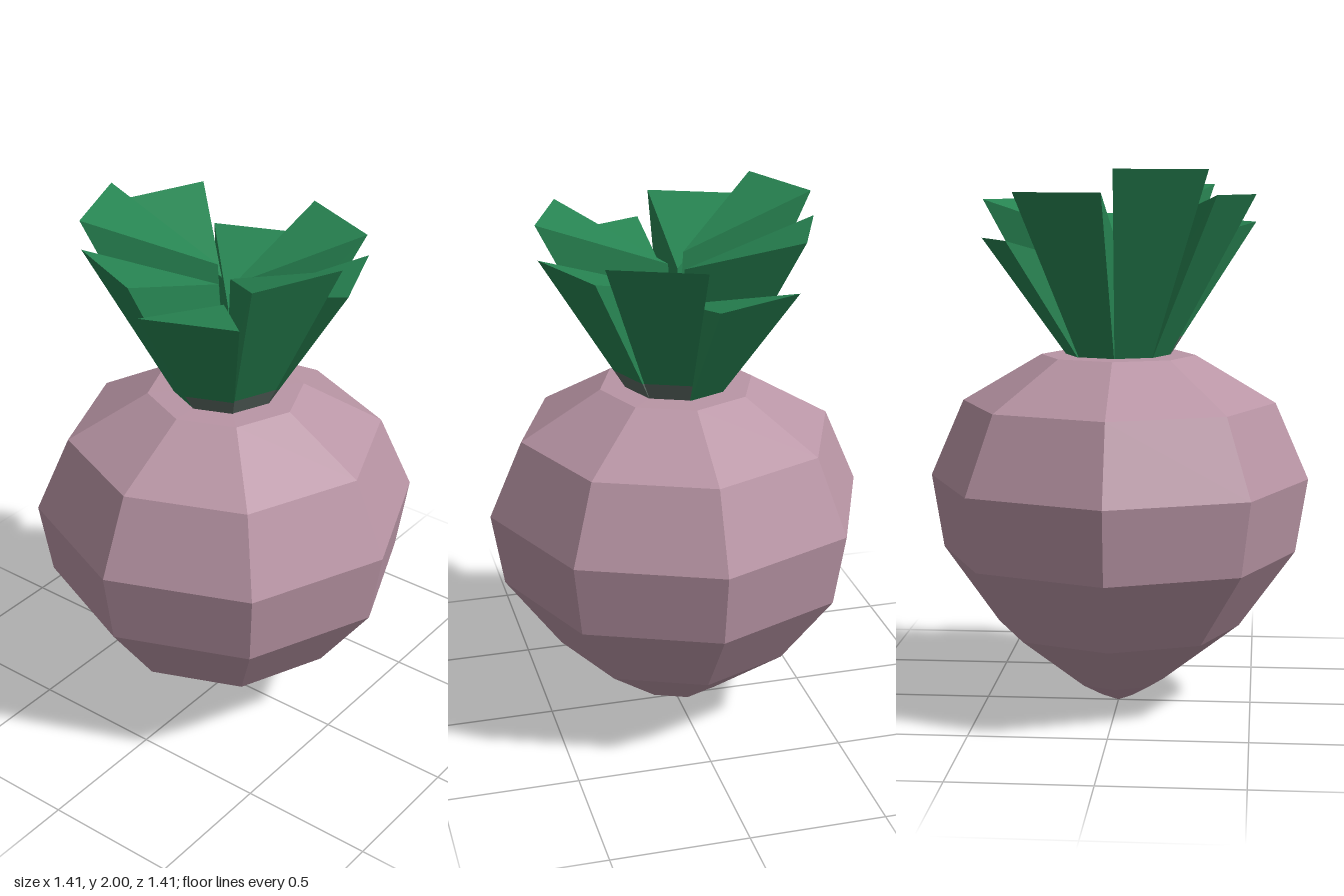
import * as THREE from 'three';

const skin = new THREE.MeshStandardMaterial({ name: 'mauve skin', color: 0xb995a5, flatShading: true });
const green = new THREE.MeshStandardMaterial({ name: 'leaf green', color: 0x278452, flatShading: true });
const dull = new THREE.MeshStandardMaterial({ name: 'dull stem green', color: 0x5c6b64, flatShading: true });

const BASE = 1.3, CUFF = 1.39;

// Three-cornered cross-section of a leaf: inner corner, then two outer corners
function section(octant, y, tip) {
  const f = (y - BASE) / (tip - BASE);
  const t0 = octant * Math.PI / 4, t1 = t0 + Math.PI / 4, gap = 0.04 * f;
  const at = (r, t, h) => new THREE.Vector3(r * Math.sin(t), h, r * Math.cos(t));
  const r = THREE.MathUtils.lerp(0.18, 0.505, f);
  return [
    at(0.03 * f, (t0 + t1) / 2, BASE + (y - BASE) * 0.73),
    at(r, t0 + gap, y),
    at(r, t1 - gap, y),
  ];
}

// Closed wall between two sections, with an optional top face
function wedge(low, high, capped) {
  const pts = [];
  for (let i = 0; i < 3; i++) {
    const j = (i + 1) % 3;
    pts.push(low[i], low[j], high[j], low[i], high[j], high[i]);
  }
  if (capped) pts.push(...high);
  const g = new THREE.BufferGeometry().setFromPoints(pts);
  g.computeVertexNormals();
  return g;
}

function addMesh(parent, name, geometry, material) {
  const mesh = new THREE.Mesh(geometry, material);
  mesh.name = name;
  parent.add(mesh);
}

export function createModel() {
  const model = new THREE.Group();
  model.name = 'rootVegetable';

  // Eight-sided bulb
  const profile = [
    [0, 0], [0.08, 0.035], [0.17, 0.085], [0.455, 0.3], [0.662, 0.585],
    [0.707, 0.86], [0.583, 1.145], [0.287, 1.32], [0, 1.325],
  ].map(([r, y]) => new THREE.Vector2(r, y));
  addMesh(model, 'bulb', new THREE.LatheGeometry(profile, 8), skin);

  // Ring of wedge leaves of uneven height, front ones with a dull stem
  const leaves = new THREE.Group();
  leaves.name = 'leaves';
  model.add(leaves);
  [1.83, 1.89, 1.75, 1.92, 2.0, 1.91, 1.81, 1.945].forEach((tip, k) => {
    const bottom = section(k, BASE, tip), top = section(k, tip, tip);
    const isFront = k < 2 || k > 5;
    const cut = isFront ? section(k, CUFF, tip) : bottom;
    if (isFront) addMesh(leaves, 'leafStem', wedge(bottom, cut, false), dull);
    addMesh(leaves, 'leaf', wedge(cut, top, true), green);
  });

  return model;
}
